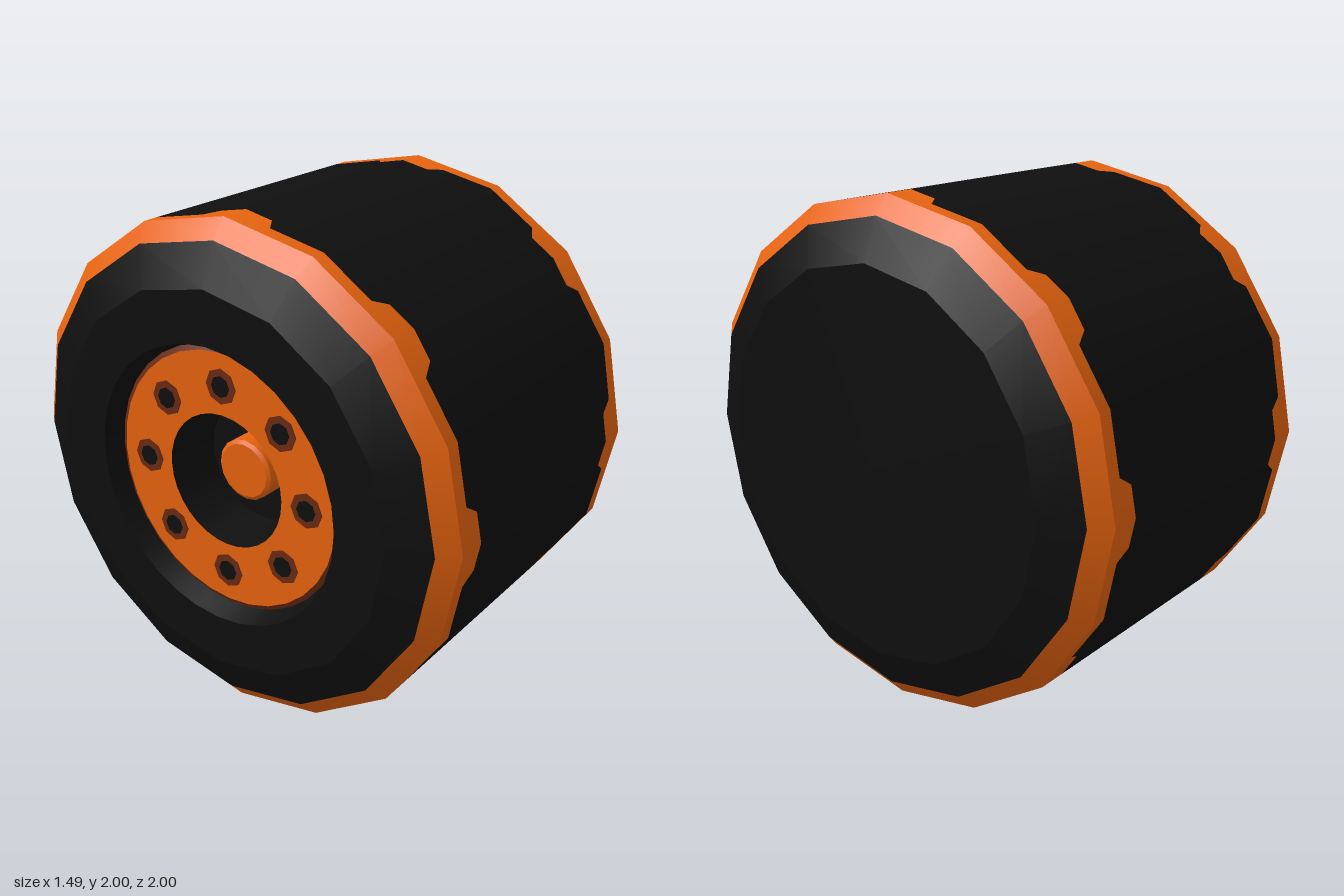
import * as THREE from 'three';

export function createModel() {
  const mat = (name, color) => {
    const m = new THREE.MeshStandardMaterial({ color });
    m.name = name;
    return m;
  };
  const black = mat('rubberBlack', 0x0f0f0f);
  const orange = mat('orange', 0xe8640f);
  const brown = mat('darkBrown', 0x6a2a12);

  const model = new THREE.Group();
  model.name = 'wheel';
  const wheel = new THREE.Group();
  wheel.name = 'wheelBody';
  wheel.position.y = 1;
  model.add(wheel);

  const add = (name, geometry, material) => {
    const mesh = new THREE.Mesh(geometry, material);
    mesh.name = name;
    wheel.add(mesh);
    return mesh;
  };

  // Surface turned around the x axis; points are [distance outward, radius], one crease per step
  const turned = (name, side, material, segments, points) => {
    for (let i = 0; i < points.length - 1; i++) {
      const pair = [points[i], points[i + 1]].map(([x, r]) => new THREE.Vector2(r, x));
      const g = new THREE.LatheGeometry(pair, segments);
      g.rotateZ(-Math.PI / 2);
      if (side < 0) g.rotateY(Math.PI);
      add(name, g, material);
    }
  };

  // Tread columns: eight toothed repeats around sixteen flat facets
  const corner = (i) => {
    const a = (i * Math.PI) / 8;
    return new THREE.Vector3(0, Math.cos(a), Math.sin(a));
  };
  const pattern = [
    [0, 0.5], [0.3, 0.5], [0.405, 0.56], [1, 0.56], [1.595, 0.56], [1.7, 0.5], [2, 0.5],
  ];
  const columns = [];
  for (let k = 0; k < 8; k++) {
    for (const [t, edge] of pattern) {
      const i = t < 1 ? 0 : 1;
      columns.push({ p: corner(2 * k + i).lerp(corner(2 * k + i + 1), t - i), edge });
    }
  }

  // Strip of the tread between two edge rules
  const treadStrip = (name, material, from, to) => {
    const pos = [], nor = [], index = [];
    columns.forEach((c, i) => {
      const n = c.p.clone().normalize();
      for (const x of [from(c.edge), to(c.edge)]) {
        pos.push(x, c.p.y, c.p.z);
        nor.push(0, n.y, n.z);
      }
      if (i % pattern.length < pattern.length - 1) {
        const a = 2 * i;
        index.push(a, a + 2, a + 3, a, a + 3, a + 1);
      }
    });
    const g = new THREE.BufferGeometry();
    g.setAttribute('position', new THREE.Float32BufferAttribute(pos, 3));
    g.setAttribute('normal', new THREE.Float32BufferAttribute(nor, 3));
    g.setIndex(index);
    add(name, g, material);
  };
  treadStrip('tread', black, (e) => -e, (e) => e);
  treadStrip('leftTreadBand', orange, (e) => e, () => 0.62);
  treadStrip('rightTreadBand', orange, () => -0.62, (e) => -e);

  // Shoulders and sidewalls
  for (const side of [1, -1]) {
    turned('shoulder', side, orange, 16, [[0.62, 1], [0.68, 0.928]]);
    turned('sidewall', side, black, 16, [[0.68, 0.928], [0.745, 0.77]]);
  }
  turned('closedFace', 1, black, 16, [[0.745, 0.77], [0.745, 0]]);

  // Open face with its recess
  turned('openFace', -1, black, 16, [[0.745, 0.77], [0.745, 0.59]]);
  turned('recess', -1, black, 32, [[0.745, 0.61], [0.745, 0.56], [0.66, 0.535]]);

  // Hub plate, centre well and axle stub
  turned('hubPlateRim', -1, brown, 32, [[0.66, 0.535], [0.67, 0.515]]);
  turned('hubPlate', -1, orange, 32, [[0.67, 0.515], [0.67, 0.27]]);
  turned('hubWell', -1, black, 32, [[0.67, 0.27], [0.45, 0.25], [0.45, 0]]);
  turned('axleStub', -1, orange, 16, [[0.45, 0.125], [0.55, 0.125], [0.56, 0.11], [0.56, 0]]);

  // Ring of eight bolt sockets
  for (let i = 0; i < 8; i++) {
    const a = (i * Math.PI) / 4;
    const place = (name, r, depth, material) => {
      const g = new THREE.CylinderGeometry(r, r, depth, 8);
      g.rotateZ(Math.PI / 2);
      add(name, g, material).position.set(-0.67, 0.385 * Math.cos(a), 0.385 * Math.sin(a));
    };
    place('boltCollar', 0.07, 0.008, brown);
    place('boltSocket', 0.042, 0.014, black);
  }
  return model;
}
